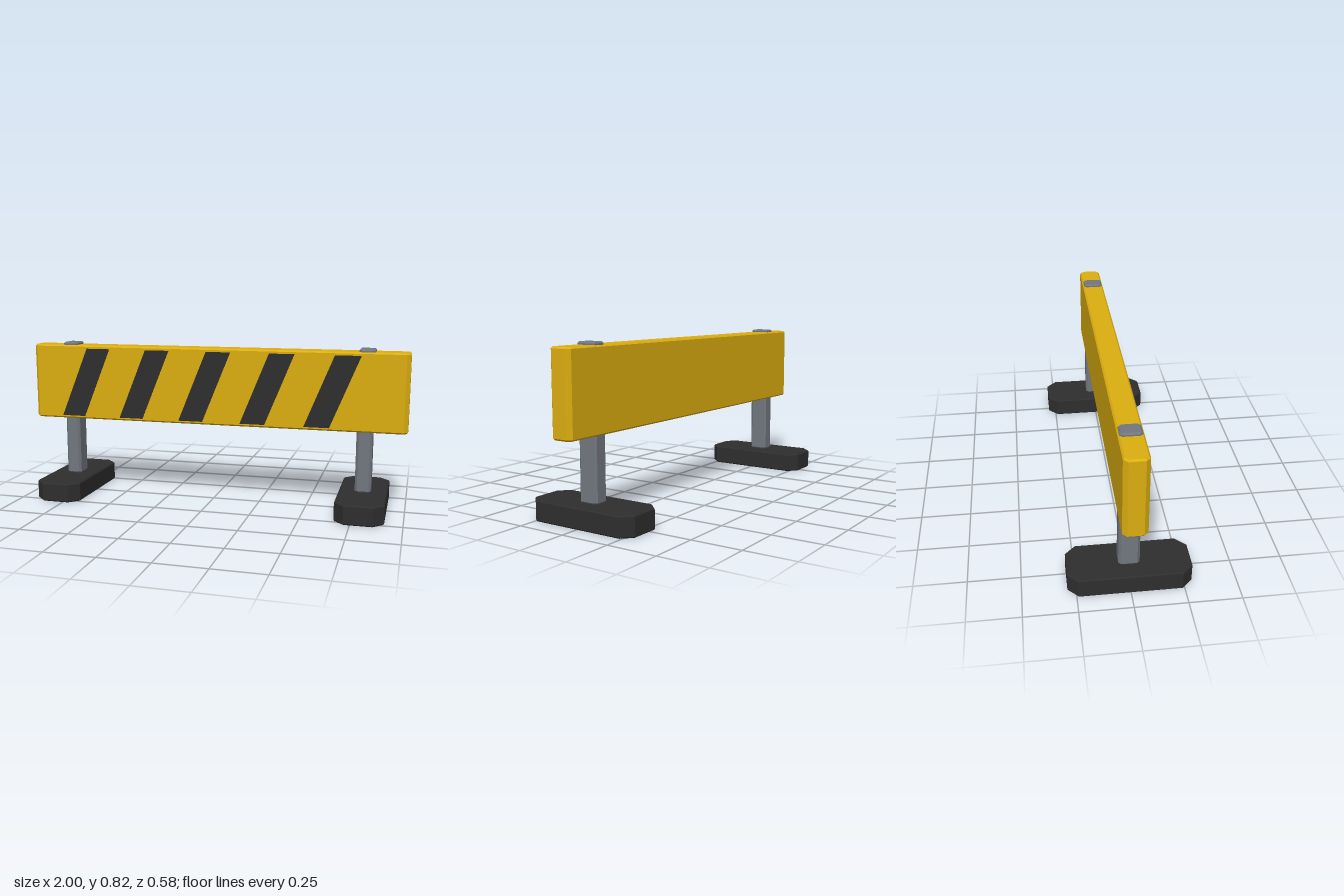
import * as THREE from 'three';

const yellow = new THREE.MeshStandardMaterial({ name: 'safetyYellow', color: 0xdcae10 });
const black = new THREE.MeshStandardMaterial({ name: 'rubberBlack', color: 0x2e2e2e });
const steel = new THREE.MeshStandardMaterial({ name: 'steelGrey', color: 0x72777f });

function polygon(points) {
  return new THREE.Shape(points.map(([x, y]) => new THREE.Vector2(x, y)));
}

// Upright block with half sizes w, d, corners cut by c, and a small bevel b on the rims
function block(name, material, w, d, y0, y1, c, b) {
  const plan = polygon([
    [w - c, -d], [w, c - d], [w, d - c], [w - c, d],
    [c - w, d], [-w, d - c], [-w, c - d], [c - w, -d],
  ]);
  const geometry = new THREE.ExtrudeGeometry(plan, {
    depth: y1 - y0 - 2 * b,
    bevelThickness: b, bevelSize: b, bevelOffset: -b, bevelSegments: 1,
  });
  geometry.rotateX(-Math.PI / 2).translate(0, y0 + b, 0);
  const mesh = new THREE.Mesh(geometry, material);
  mesh.name = name;
  return mesh;
}

export function createModel() {
  const model = new THREE.Group();
  model.name = 'roadBarrier';

  // Wide panel
  model.add(block('panel', yellow, 1, 0.057, 0.41, 0.81, 0.02, 0.008));

  // Slanted stripes on the front face only
  const stripeShape = polygon([[-0.14, 0.425], [-0.01, 0.425], [0.14, 0.792], [0.01, 0.792]]);
  const stripeGeometry = new THREE.ExtrudeGeometry(stripeShape, { depth: 0.003, bevelEnabled: false });
  for (let i = 0; i < 5; i++) {
    const stripe = new THREE.Mesh(stripeGeometry, black);
    stripe.name = `stripe${i + 1}`;
    stripe.position.set(-0.7 + i * 0.331, 0, 0.0555);
    model.add(stripe);
  }

  // Post and foot on each side
  for (const [side, x] of [['left', 0.79], ['right', -0.79]]) {
    const leg = new THREE.Group();
    leg.name = `${side}Leg`;
    leg.position.x = x;
    leg.add(
      block('post', steel, 0.04, 0.05, 0.1, 0.824, 0.012, 0.007),
      block('foot', black, 0.121, 0.29, 0, 0.1, 0.05, 0.006),
    );
    model.add(leg);
  }
  return model;
}
